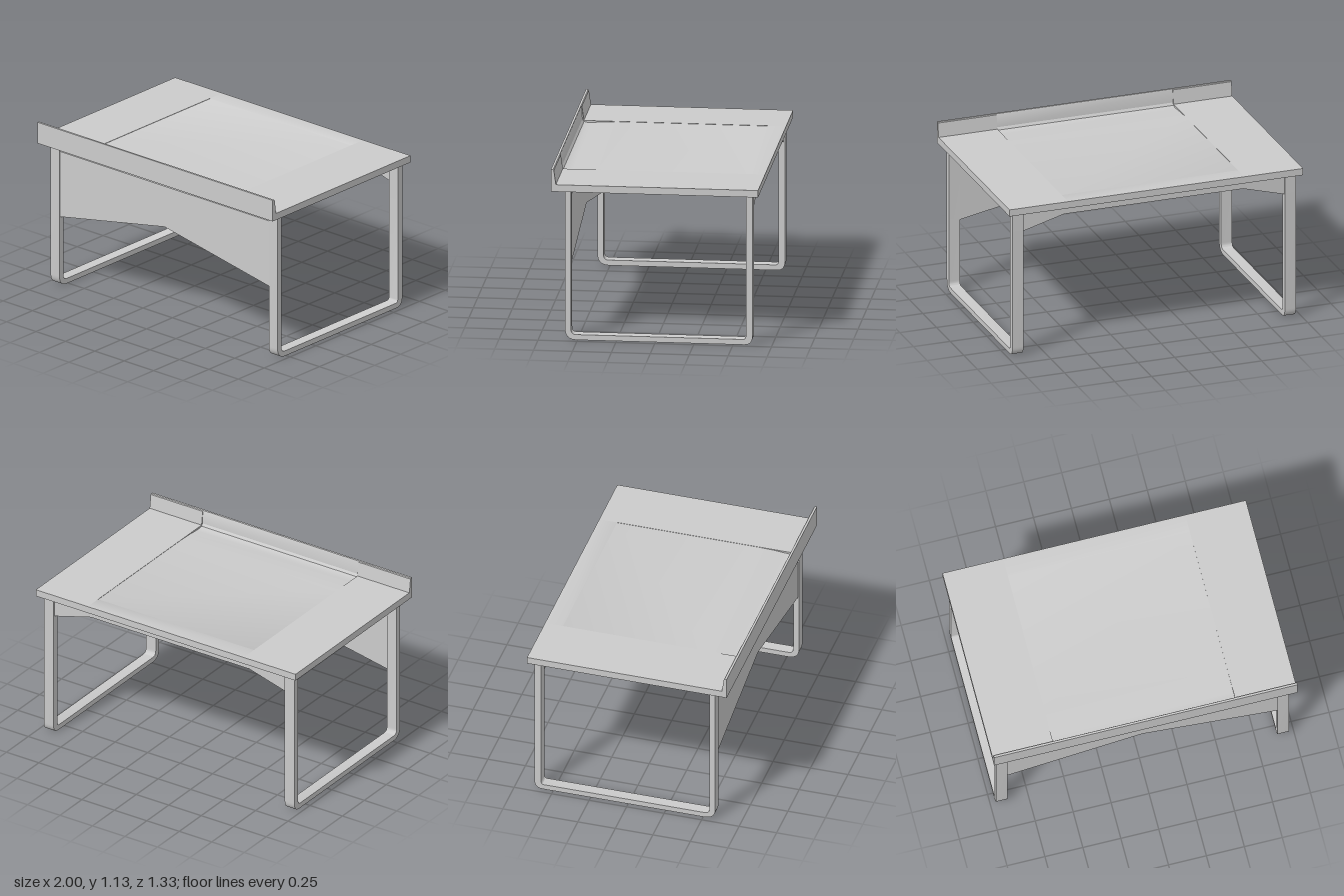
import * as THREE from 'three';
import { toCreasedNormals } from 'three/addons/utils/BufferGeometryUtils.js';

const material = new THREE.MeshStandardMaterial({ color: 0xcccccc });

function polygon(points) {
  return new THREE.Shape(points.map(([x, y]) => new THREE.Vector2(x, y)));
}

function extrude(shape, depth) {
  return new THREE.ExtrudeGeometry(shape, { depth, bevelEnabled: false, curveSegments: 8 });
}

function addMesh(parent, name, geometry) {
  const mesh = new THREE.Mesh(toCreasedNormals(geometry, 0.5), material);
  mesh.name = name;
  parent.add(mesh);
}

// Extrudes a side profile, drawn with its horizontal axis along -z, from x0 to x1.
function sideExtrude(shape, x0, x1) {
  return extrude(shape, x1 - x0).rotateY(Math.PI / 2).translate(x0, 0, 0);
}

// Extrudes a front outline, drawn in x and y, from z0 to z1.
function frontExtrude(points, z0, z1) {
  return extrude(polygon(points), z1 - z0).translate(0, 0, z0);
}

// U-shaped sled leg, with rounded lower corners outside and inside.
function legShape() {
  const s = new THREE.Shape();
  s.moveTo(-0.58, 0.985);
  s.lineTo(-0.58, 0.07);
  s.quadraticCurveTo(-0.58, 0, -0.505, 0);
  s.lineTo(0.57, 0);
  s.quadraticCurveTo(0.625, 0, 0.625, 0.06);
  s.lineTo(0.625, 0.985);
  s.lineTo(0.582, 0.985);
  s.lineTo(0.582, 0.06);
  s.quadraticCurveTo(0.582, 0.035, 0.56, 0.035);
  s.lineTo(-0.51, 0.035);
  s.quadraticCurveTo(-0.542, 0.035, -0.542, 0.07);
  s.lineTo(-0.542, 0.985);
  return s;
}

export function createModel() {
  const desk = new THREE.Group();
  desk.name = 'desk';

  // Tabletop: full lip at both ends, thinner lip and shallow hollow between
  const top = new THREE.Group();
  top.name = 'tabletop';
  desk.add(top);
  const endProfile = polygon([
    [-0.667, 0.985], [0.664, 0.985], [0.664, 1.031], [-0.635, 1.031], [-0.648, 1.125], [-0.653, 1.13], [-0.667, 1.13],
  ]);
  const middleProfile = polygon([
    [-0.667, 0.985], [0.664, 0.985], [0.664, 1.031], [0.547, 1.031], [0.543, 1.029], [-0.41, 1.029],
    [-0.5, 1.026], [-0.57, 1.02], [-0.61, 1.018], [-0.634, 1.024], [-0.645, 1.04], [-0.65, 1.125], [-0.653, 1.13], [-0.667, 1.13],
  ]);
  addMesh(top, 'tabletopRight', sideExtrude(endProfile, -1, -0.6));
  addMesh(top, 'tabletopMiddle', sideExtrude(middleProfile, -0.6, 0.6));
  addMesh(top, 'tabletopLeft', sideExtrude(endProfile, 0.6, 1));

  // Sled legs
  addMesh(desk, 'rightLegFrame', sideExtrude(legShape(), -0.965, -0.89));
  addMesh(desk, 'leftLegFrame', sideExtrude(legShape(), 0.89, 0.965));

  // Front modesty panel with a peaked lower edge
  addMesh(desk, 'frontPanel', frontExtrude(
    [[-0.89, 0.93], [-0.89, 0.48], [0, 0.65], [0.89, 0.48], [0.89, 0.93]], 0.55, 0.575));

  // Back rail, deeper towards the legs
  addMesh(desk, 'backRail', frontExtrude(
    [[-0.89, 0.975], [-0.89, 0.85], [-0.61, 0.928], [0.61, 0.928], [0.89, 0.85], [0.89, 0.975]], -0.615, -0.59));

  return desk;
}
